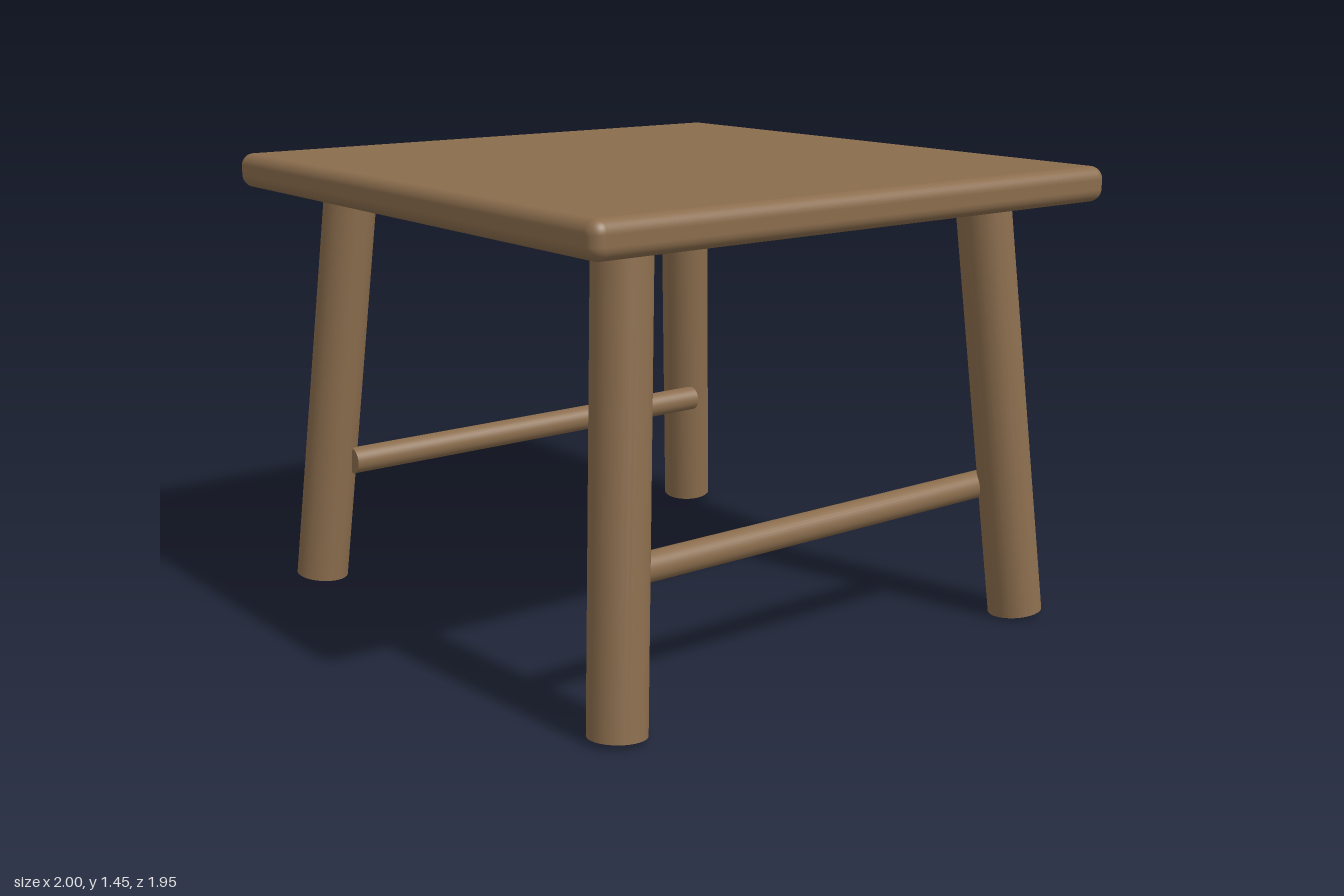
import * as THREE from 'three';
import { RoundedBoxGeometry } from 'three/addons/geometries/RoundedBoxGeometry.js';

const wood = new THREE.MeshStandardMaterial({ color: 0x8b6d4d });

// Round bar between two points
function bar(name, from, to, radius) {
  const dir = to.clone().sub(from);
  const mesh = new THREE.Mesh(new THREE.CylinderGeometry(radius, radius, dir.length(), 32), wood);
  mesh.name = name;
  mesh.position.copy(from).add(to).multiplyScalar(0.5);
  mesh.quaternion.setFromUnitVectors(new THREE.Vector3(0, 1, 0), dir.normalize());
  return mesh;
}

export function createModel() {
  const model = new THREE.Group();
  model.name = 'stool';

  // Seat slab with softened edges
  const seat = new THREE.Mesh(new RoundedBoxGeometry(2, 0.11, 1.95, 6, 0.04), wood);
  seat.name = 'seat';
  seat.position.y = 1.4;
  model.add(seat);

  for (const sx of [1, -1]) {
    const side = sx > 0 ? 'left' : 'right';

    // Splayed legs, tops sunk into the seat
    for (const sz of [1, -1]) {
      const foot = new THREE.Vector3(sx * 0.856, 0.01, sz * 0.806);
      const head = new THREE.Vector3(sx * 0.742, 1.38, sz * 0.696);
      model.add(bar(side + (sz > 0 ? 'Front' : 'Back') + 'Leg', foot, head, 0.086));
    }

    // Side stretcher set against the inner faces of the legs
    model.add(bar(side + 'Stretcher',
      new THREE.Vector3(sx * 0.742, 0.423, -0.735),
      new THREE.Vector3(sx * 0.742, 0.423, 0.735), 0.044));
  }
  return model;
}
